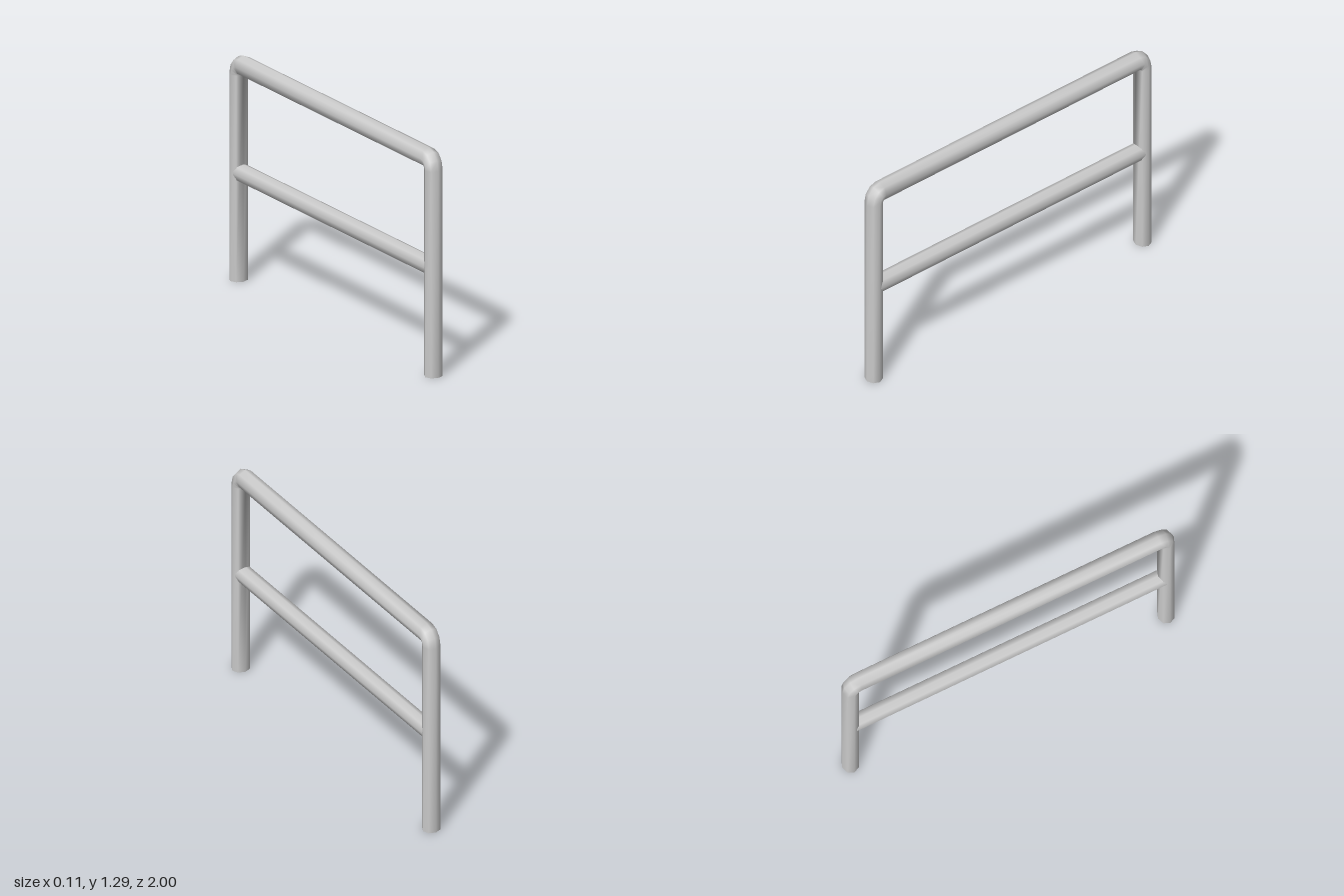
import * as THREE from 'three';
import { mergeVertices } from 'three/addons/utils/BufferGeometryUtils.js';

const SIDES = 8;
const HALF_X = 0.053;              // half width of the main tube
const LEG = 0.095, RAIL = 0.114;   // tube depth in the legs and in the top rail
const PIVOT_Z = 0.905, PIVOT_Y = 1.176; // inner corner the bends turn about
const BEND_STEPS = 3;

// One cross-section of the bent tube, from an inner to an outer point in the zy plane
function ring(inner, outer) {
  const points = [];
  for (let i = 0; i < SIDES; i++) {
    const a = (i / SIDES) * Math.PI * 2;
    const t = 0.5 + 0.5 * Math.sin(a);
    points.push(new THREE.Vector3(
      HALF_X * Math.cos(a),
      inner.y + (outer.y - inner.y) * t,
      inner.z + (outer.z - inner.z) * t
    ));
  }
  return points;
}

// Smooth skin over a row of cross-sections, facing outwards
function skin(rings) {
  const index = [];
  for (let r = 0; r < rings.length - 1; r++) {
    for (let i = 0; i < SIDES; i++) {
      const j = (i + 1) % SIDES;
      const a = r * SIDES + i, b = r * SIDES + j;
      index.push(a, a + SIDES, b, b, a + SIDES, b + SIDES);
    }
  }
  let geometry = new THREE.BufferGeometry().setFromPoints(rings.flat());
  geometry.setIndex(index);
  geometry = mergeVertices(geometry, 1e-5);
  geometry.computeVertexNormals();
  return geometry;
}

export function createModel() {
  const group = new THREE.Group();
  const material = new THREE.MeshStandardMaterial({ color: 0xcccccc });
  const add = (name, geometry) => {
    const mesh = new THREE.Mesh(geometry, material);
    mesh.name = name;
    group.add(mesh);
    return mesh;
  };

  // Hoop: front leg, bend, top rail, bend, back leg
  const rings = [ring({ y: 0, z: PIVOT_Z }, { y: 0, z: PIVOT_Z + LEG })];
  for (const side of [1, -1]) {
    for (let s = 0; s <= BEND_STEPS; s++) {
      const step = side > 0 ? s : BEND_STEPS - s;
      const t = (step / BEND_STEPS) * Math.PI / 2;
      rings.push(ring(
        { y: PIVOT_Y, z: side * PIVOT_Z },
        { y: PIVOT_Y + RAIL * Math.sin(t), z: side * (PIVOT_Z + LEG * Math.cos(t)) }
      ));
    }
  }
  rings.push(ring({ y: 0, z: -PIVOT_Z }, { y: 0, z: -PIVOT_Z - LEG }));
  add('hoop', skin(rings));

  // Flat feet closing the legs
  for (const side of [1, -1]) {
    const foot = add(side > 0 ? 'frontFoot' : 'backFoot', new THREE.CircleGeometry(1, SIDES));
    foot.scale.set(HALF_X, LEG / 2, 1);
    foot.rotation.x = Math.PI / 2;
    foot.position.z = side * (PIVOT_Z + LEG / 2);
  }

  // Middle rail, its ends hidden in the legs
  const rail = new THREE.CylinderGeometry(0.052, 0.052, 1.87, SIDES);
  rail.rotateX(Math.PI / 2);
  rail.scale(0.95, 1, 1);
  add('middleRail', rail).position.y = 0.618;

  return group;
}
